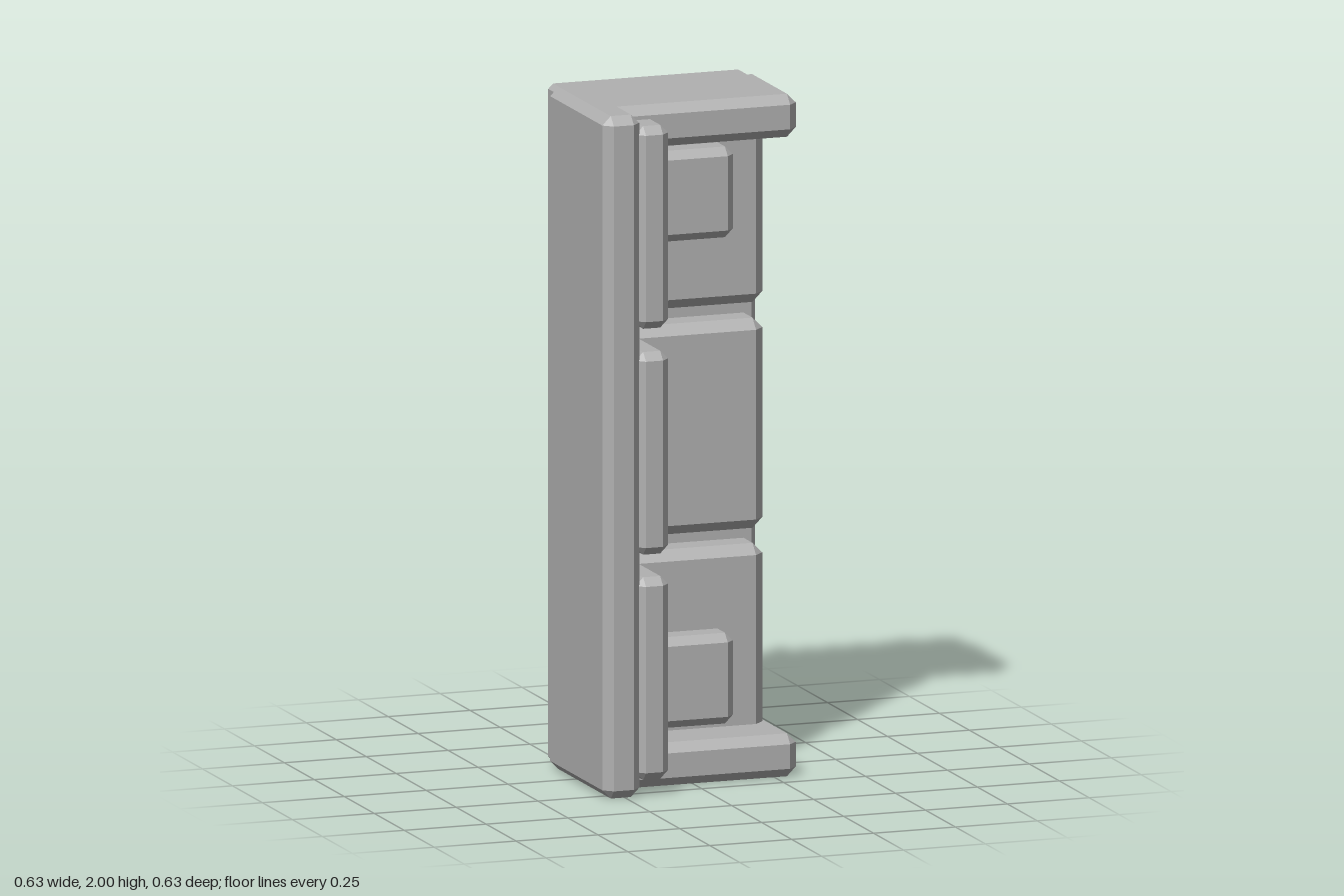
import * as THREE from 'three';
import { ConvexGeometry } from 'three/addons/geometries/ConvexGeometry.js';

const grey = new THREE.MeshStandardMaterial({ color: 0xb0b0b0 });
grey.name = 'grey';

// Box between two corners with every edge chamfered by c
function chamferBox(name, [x0, x1], [y0, y1], [z0, z1], c) {
  const half = [(x1 - x0) / 2, (y1 - y0) / 2, (z1 - z0) / 2];
  const points = [];
  for (let axis = 0; axis < 3; axis++)
    for (const sx of [-1, 1]) for (const sy of [-1, 1]) for (const sz of [-1, 1]) {
      const p = [sx, sy, sz].map((s, i) => s * (half[i] - (i === axis ? 0 : c)));
      points.push(new THREE.Vector3(...p));
    }
  const mesh = new THREE.Mesh(new ConvexGeometry(points), grey);
  mesh.name = name;
  mesh.position.set((x0 + x1) / 2, (y0 + y1) / 2, (z0 + z1) / 2);
  return mesh;
}

// A three-seat sofa standing on one arm: seat faces +z, backrest on -x
export function createModel() {
  const sofa = new THREE.Group();
  sofa.name = 'sofa';

  // Frame
  sofa.add(chamferBox('base', [-0.295, 0.3], [0.007, 1.993], [-0.24, -0.112], 0.015));
  sofa.add(chamferBox('backrest', [-0.318, -0.205], [0, 2], [-0.172, 0.315], 0.026));
  for (const y of [[0, 0.126], [1.874, 2]])
    sofa.add(chamferBox('arm', [-0.26, 0.316], y, [-0.147, 0.198], 0.027));

  // Seat and back cushions
  for (const y of [0.343, 1.003, 1.665]) {
    sofa.add(chamferBox('seatCushion', [-0.215, 0.28], [y - 0.308, y + 0.308], [-0.115, 0.02], 0.03));
    sofa.add(chamferBox('backCushion', [-0.215, -0.115], [y - 0.297, y + 0.297], [-0.06, 0.307], 0.024));
  }

  // Loose pillows against the back cushions
  for (const y of [0.287, 1.712])
    sofa.add(chamferBox('pillow', [-0.115, 0.147], [y - 0.133, y + 0.133], [0.02, 0.131], 0.024));

  // Short legs under the base
  for (const x of [-0.185, 0.19])
    for (const y of [0.13, 1.88])
      sofa.add(chamferBox('leg', [x - 0.023, x + 0.023], [y - 0.021, y + 0.021], [-0.317, -0.22], 0.005));

  return sofa;
}
